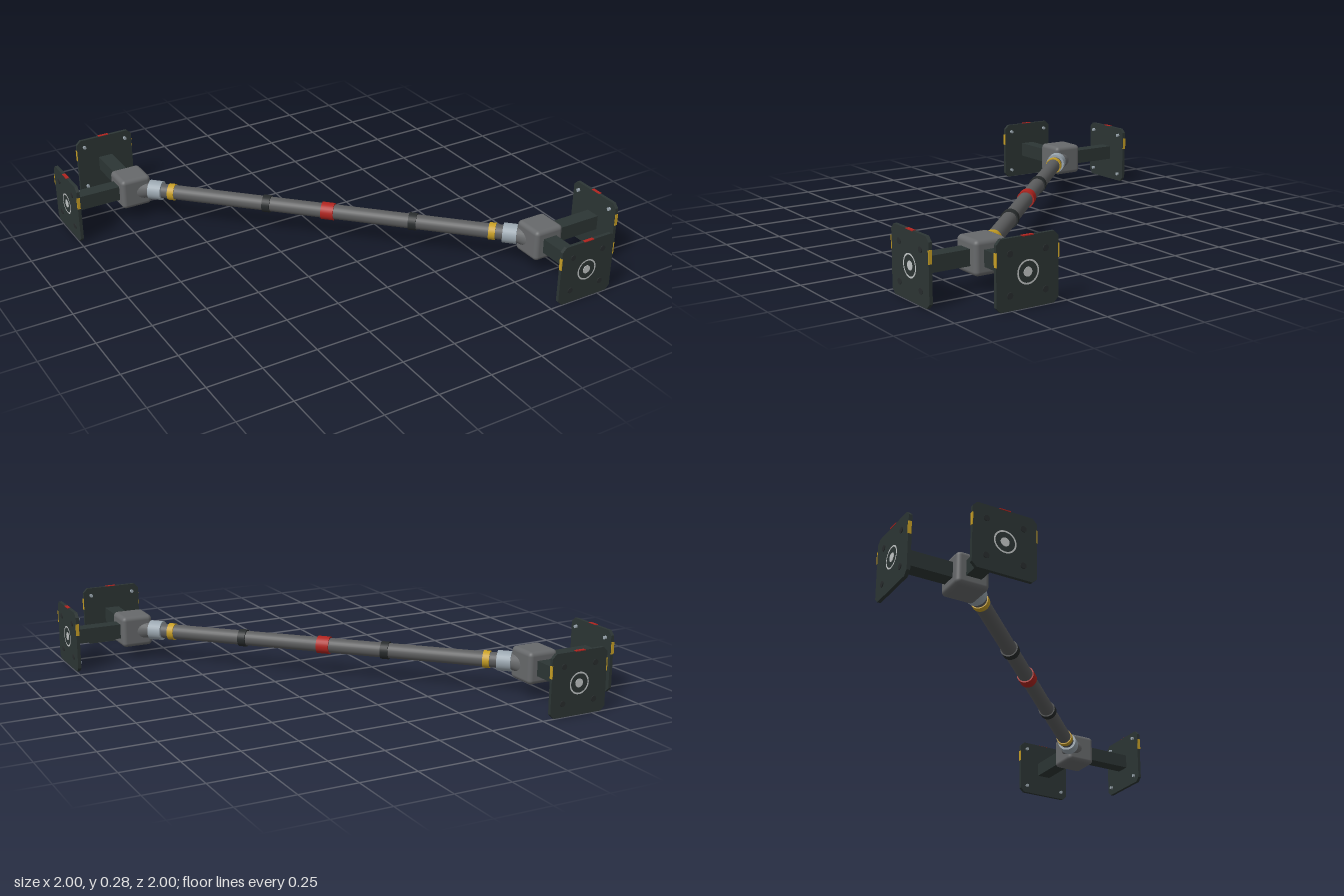
import * as THREE from 'three';
import { RoundedBoxGeometry } from 'three/addons/geometries/RoundedBoxGeometry.js';

const mat = (name, color) => new THREE.MeshStandardMaterial({ name, color });

export function createModel() {
  const M = {
    plate: mat('dark green grey steel', 0x2c3534),
    tube: mat('tube grey', 0x5c5d5e),
    node: mat('joint grey', 0x67696b),
    silver: mat('silver', 0x9ba7b0),
    band: mat('black band', 0x282c2d),
    yellow: mat('yellow', 0xc79f25),
    red: mat('red', 0xb0241f),
    mark: mat('light marking', 0xc2c6c6),
  };
  const CY = 0.145, NODE = 0.678, HALF = 0.14;
  const root = new THREE.Group();
  root.name = 'diagonalStrut';

  const add = (parent, name, geo, material, x = 0, y = 0, z = 0) => {
    const m = new THREE.Mesh(geo, material);
    m.name = name;
    m.position.set(x, y, z);
    parent.add(m);
    return m;
  };
  // cylinder whose axis runs along z; r1 is the radius at the +z end
  const rod = (r1, r0, len, sides = 28) =>
    new THREE.CylinderGeometry(r1, r0, len, sides).rotateX(Math.PI / 2);

  // square plate with clipped corners, outer face at +z
  const c = 0.02, h = HALF, t = 0.015;
  const outline = new THREE.Shape([
    [-h + c, -h], [h - c, -h], [h, -h + c], [h, h - c],
    [h - c, h], [-h + c, h], [-h, h - c], [-h, -h + c],
  ].map(([x, y]) => new THREE.Vector2(x, y)));
  const plateGeo = new THREE.ExtrudeGeometry(outline, { depth: t, bevelEnabled: false });

  // arm with mounting plate, pointing along +z from the joint
  function makeArm() {
    const g = new THREE.Group();
    g.name = 'mountingArm';
    const end = 0.997 - NODE;
    add(g, 'armBeam', new THREE.BoxGeometry(0.068, 0.068, end - t), M.plate, 0, 0, (end - t) / 2);
    add(g, 'mountingPlate', plateGeo, M.plate, 0, 0, end - t);

    // target ring and centre disc on the outer face
    add(g, 'targetRing', new THREE.RingGeometry(0.042, 0.049, 32), M.mark, 0, 0, end + 0.002);
    add(g, 'targetDisc', rod(0.019, 0.019, 0.004, 20), M.mark, 0, 0, end);

    // bolts on both faces
    for (const sx of [-1, 1]) for (const sy of [-1, 1]) {
      add(g, 'outerBolt', rod(0.013, 0.013, 0.006, 12), M.band, sx * 0.08, sy * 0.08, end);
      add(g, 'innerBolt', rod(0.008, 0.008, 0.012, 8), M.silver, sx * 0.104, sy * 0.104, end - t - 0.005);
    }

    // painted tabs on the edges
    add(g, 'topTab', new THREE.BoxGeometry(0.05, 0.004, t), M.red, 0, h, end - t / 2 + 0.002);
    for (const s of [-1, 1])
      add(g, 'sideTab', new THREE.BoxGeometry(0.004, 0.055, t), M.yellow, s * h, 0.063, end - t / 2 + 0.002);
    return g;
  }

  // joint block with two arms at each end
  for (const s of [1, -1]) {
    const end = new THREE.Group();
    end.name = s > 0 ? 'frontLeftJoint' : 'backRightJoint';
    end.position.set(s * NODE, CY, s * NODE);
    if (s < 0) end.rotation.y = Math.PI;
    add(end, 'jointBlock', new RoundedBoxGeometry(0.146, 0.146, 0.146, 3, 0.02), M.node);
    const armZ = makeArm(), armX = makeArm();
    armX.rotation.y = Math.PI / 2;
    end.add(armZ, armX);
    root.add(end);
  }

  // diagonal tube with its collars, built along z
  const strut = new THREE.Group();
  strut.name = 'strut';
  strut.position.y = CY;
  strut.rotation.y = Math.PI / 4;
  root.add(strut);
  const D = Math.SQRT2;
  add(strut, 'mainTube', rod(0.034, 0.034, 1.66), M.tube);
  add(strut, 'centreBand', rod(0.04, 0.04, 0.058), M.red);
  for (const p of [-0.205, 0.278])
    add(strut, 'darkBand', rod(0.04, 0.04, 0.036), M.band, 0, 0, p * D);
  for (const s of [-1, 1]) {
    add(strut, 'yellowBand', rod(0.039, 0.039, 0.03), M.yellow, 0, 0, s * 0.532 * D);
    add(strut, 'silverCollar', rod(0.045, 0.045, 0.062), M.silver, 0, 0, s * 0.588 * D);
    const neck = s > 0 ? rod(0.058, 0.036, 0.06) : rod(0.036, 0.058, 0.06);
    add(strut, 'neck', neck, M.node, 0, 0, s * 0.63 * D);
  }
  return root;
}
